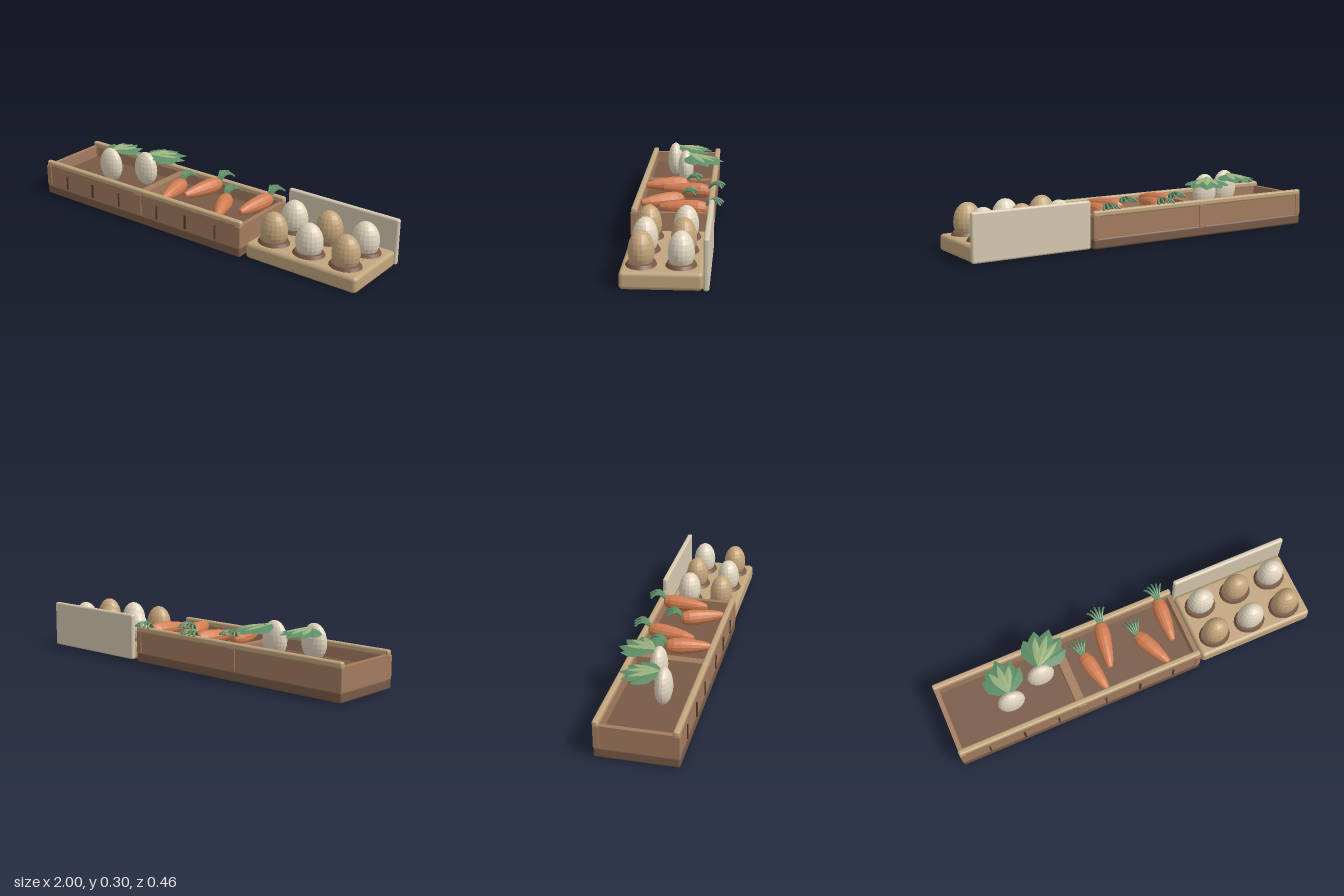
import * as THREE from 'three';
import { RoundedBoxGeometry } from 'three/addons/geometries/RoundedBoxGeometry.js';

const mat = (name, color, extra = {}) => {
  const m = new THREE.MeshStandardMaterial({ color, ...extra });
  m.name = name;
  return m;
};

export function createModel() {
  const wood = mat('wood', 0xa47c5f);
  const darkWood = mat('darkWood', 0x785946);
  const groove = mat('groove', 0x553d30);
  const tan = mat('tan', 0xc1a57d);
  const card = mat('card', 0xd6c9af);
  const brownEgg = mat('brownEgg', 0xc3a47a, { flatShading: true });
  const cream = mat('cream', 0xe0d4be, { flatShading: true });
  const orange = mat('orange', 0xd27d51, { flatShading: true });
  const green = mat('green', 0x5f8f68, { flatShading: true, side: THREE.DoubleSide });
  const paleGreen = mat('paleGreen', 0x9db480, { flatShading: true, side: THREE.DoubleSide });

  const root = new THREE.Group();
  const add = (parent, name, geo, material, x = 0, y = 0, z = 0) => {
    const m = new THREE.Mesh(geo, material);
    m.name = name;
    m.position.set(x, y, z);
    parent.add(m);
    return m;
  };
  // box given by its limits, optionally rounded
  const box = (parent, name, material, x0, x1, y0, y1, z0, z1, r = 0) => {
    const s = [x1 - x0, y1 - y0, z1 - z0];
    const geo = r ? new RoundedBoxGeometry(...s, 3, r) : new THREE.BoxGeometry(...s);
    return add(parent, name, geo, material, (x0 + x1) / 2, (y0 + y1) / 2, (z0 + z1) / 2);
  };

  // Crates: base, soil, walls, posts, rails and front slat lines; the two overlap slightly
  const zB = -0.185, zF = 0.222;
  function crate(cx) {
    const g = new THREE.Group();
    g.name = 'crate';
    g.position.x = cx;
    root.add(g);
    const h = 0.3475;
    box(g, 'base', darkWood, -h, h, 0, 0.056, zB, zF, 0.012);
    box(g, 'soil', darkWood, -h + 0.03, h - 0.03, 0.05, 0.11, zB + 0.02, zF - 0.02);
    box(g, 'frontWall', wood, -h + 0.01, h - 0.01, 0.05, 0.17, zF - 0.03, zF - 0.004);
    box(g, 'backWall', wood, -h + 0.01, h - 0.01, 0.05, 0.17, zB + 0.004, zB + 0.03);
    for (const s of [-1, 1]) {
      const mid = s * (h - 0.014);
      box(g, 'endWall', wood, mid - 0.012, mid + 0.012, 0.05, 0.17, zB + 0.02, zF - 0.02);
      for (const z of [zB, zF - 0.032])
        box(g, 'cornerPost', wood, s * (h - 0.016) - 0.016, s * (h - 0.016) + 0.016, 0.05, 0.168, z, z + 0.032, 0.004);
      box(g, 'slatLine', groove, s * 0.19 - 0.004, s * 0.19 + 0.004, 0.06, 0.137, zF - 0.005, zF + 0.002);
    }
    box(g, 'slatLine', groove, -0.006, 0.006, 0.06, 0.137, zF - 0.005, zF + 0.003);
    for (const z of [zB - 0.002, zF - 0.034])
      box(g, 'rail', tan, -h, h, 0.163, 0.194, z, z + 0.03, 0.01);
  }
  crate(-0.6525);
  crate(-0.0075);

  // Egg tray with a standing lid behind it
  const tray = new THREE.Group();
  tray.name = 'eggTray';
  root.add(tray);
  box(tray, 'trayBody', tan, 0.362, 0.995, 0.005, 0.09, -0.168, 0.207, 0.02);
  box(tray, 'lid', card, 0.362, 1.0, 0.008, 0.252, -0.195, -0.168, 0.011);

  // Egg outline, wider below the middle
  const eggProfile = [];
  for (let i = 0; i <= 12; i++) {
    const a = -Math.PI / 2 + (Math.PI * i) / 12;
    eggProfile.push(new THREE.Vector2(Math.max(Math.cos(a), 0.0001), Math.sin(a) * (a > 0 ? 1 : 0.9)));
  }
  const eggGeo = new THREE.LatheGeometry(eggProfile, 18);
  const cupGeo = new THREE.CylinderGeometry(0.87, 1, 1, 20);
  [0.472, 0.677, 0.882].forEach((x, i) => [0.115, -0.065].forEach((z, j) => {
    add(tray, 'cup', cupGeo, darkWood, x, 0.097, z).scale.set(0.086, 0.018, 0.073);
    add(tray, 'egg', eggGeo, (i + j) % 2 ? cream : brownEgg, x, 0.152, z).scale.set(0.072, 0.098, 0.061);
  }));

  // Folded leaf pointing to -z, drooping towards its tip
  function leafGeo(len, w) {
    const st = [[0, 0.15], [0.3, 0.75], [0.6, 1], [0.82, 0.65], [1, 0.05]];
    const pos = [], idx = [];
    st.forEach(([t, k], i) => {
      const z = -len * t, y = -0.75 * z * z, e = y - 0.2 * w * k;
      pos.push(-w * k, e, z, 0, y, z, w * k, e, z);
      if (i) for (const c of [0, 1]) {
        const p = (i - 1) * 3 + c;
        idx.push(p, p + 1, p + 3, p + 1, p + 4, p + 3);
      }
    });
    const g = new THREE.BufferGeometry();
    g.setAttribute('position', new THREE.Float32BufferAttribute(pos, 3));
    g.setIndex(idx);
    g.computeVertexNormals();
    return g;
  }

  // Turnips with a fan of leaves
  function turnip(x, z, turn, size) {
    const g = new THREE.Group();
    g.name = 'turnip';
    g.position.set(x, 0, z);
    root.add(g);
    add(g, 'bulb', eggGeo, cream, 0, 0.202, 0).scale.set(0.072, 0.099, 0.043);
    const fan = new THREE.Group();
    fan.name = 'leaves';
    fan.position.set(0, 0.285, -0.018);
    fan.rotation.y = turn;
    g.add(fan);
    [[-0.72, 0.155], [-0.36, 0.185], [0, 0.2], [0.36, 0.185], [0.72, 0.155]].forEach(([a, len], i) => {
      const y = -0.003 * Math.abs(i - 2);
      add(fan, 'leaf', leafGeo(len * size, 0.042 * size), green, 0, y).rotation.y = a;
      if (i % 4) add(fan, 'leafHeart', leafGeo(len * size * 0.82, 0.018), paleGreen, 0, y + 0.005).rotation.y = a;
    });
  }
  turnip(-0.655, 0.063, 0, 1);
  turnip(-0.465, -0.008, -0.62, 1.1);

  // Carrots lying in the second crate, tip towards the front
  const carrotProfile = [[0, 0], [0.015, 0.004], [0.027, 0.05], [0.036, 0.11], [0.041, 0.17], [0.04, 0.215], [0.031, 0.25], [0.014, 0.267], [0, 0.27]]
    .map(([r, y]) => new THREE.Vector2(r, y / 0.27));
  const carrotGeo = new THREE.LatheGeometry(carrotProfile, 14);
  function carrot(x0, z0, x1, z1) {
    const g = new THREE.Group();
    g.name = 'carrot';
    g.position.set(x0, 0.173, z0);
    g.rotation.y = Math.atan2(x1 - x0, z1 - z0);
    root.add(g);
    const len = Math.hypot(x1 - x0, z1 - z0);
    const body = add(g, 'carrotRoot', carrotGeo, orange, 0, 0, len);
    body.rotation.x = -Math.PI / 2;
    body.scale.y = len;
    // arching stalks keep pointing to the back
    const top = new THREE.Group();
    top.name = 'carrotTop';
    top.rotation.y = -g.rotation.y * 0.9;
    g.add(top);
    for (let i = -2; i <= 2; i++) {
      const n = Math.abs(i);
      const path = new THREE.QuadraticBezierCurve3(
        new THREE.Vector3(i * 0.003, 0.01, 0.02),
        new THREE.Vector3(i * 0.012, 0.084 - 0.005 * n, -0.025),
        new THREE.Vector3(i * 0.023, 0.038 - 0.003 * n, -0.07 + 0.007 * n));
      add(top, 'stalk', new THREE.TubeGeometry(path, 6, 0.0056, 6), green);
      add(top, 'stalkTip', new THREE.SphereGeometry(0.0056, 6, 4), green).position.copy(path.v2);
    }
  }
  carrot(-0.225, -0.04, -0.178, 0.19);
  carrot(-0.07, -0.165, -0.118, 0.09);
  carrot(0.075, -0.03, 0.172, 0.185);
  carrot(0.258, -0.165, 0.238, 0.085);

  return root;
}
